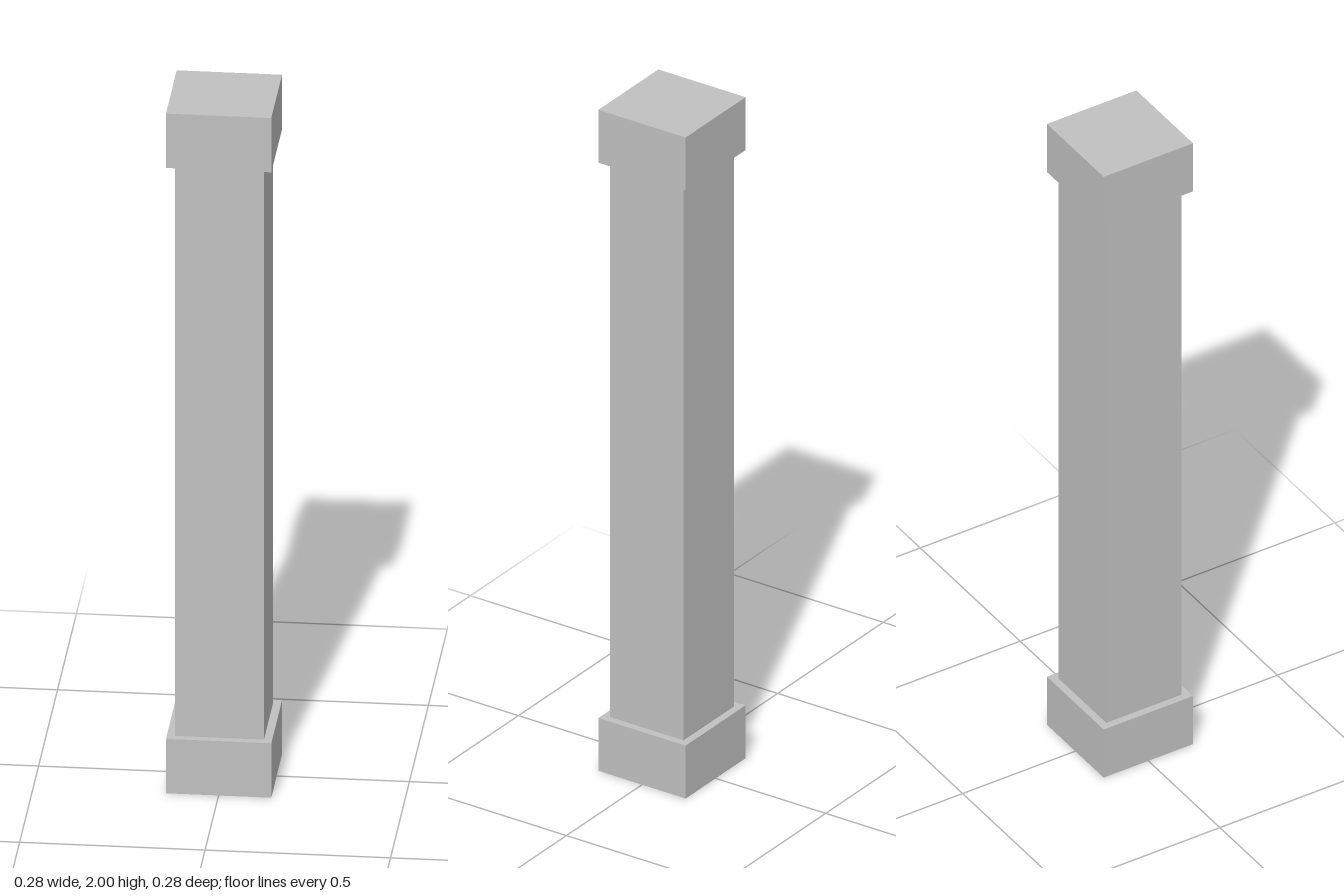
import * as THREE from 'three';

// Open square shell swept from a [halfWidth, y] profile
function squareShell(name, profile, material) {
  const points = profile.map(([half, y]) => new THREE.Vector2(half * Math.SQRT2, y));
  const swept = new THREE.LatheGeometry(points, 4, Math.PI / 4);
  const geometry = swept.toNonIndexed();
  geometry.computeVertexNormals();
  const mesh = new THREE.Mesh(geometry, material);
  mesh.name = name;
  return mesh;
}

export function createModel() {
  const stone = new THREE.MeshStandardMaterial({ color: 0xc0c0c0, side: THREE.DoubleSide });
  stone.name = 'grey stone';

  const blockHalf = 0.142, shaftHalf = 0.12;
  const baseTop = 0.16, capBottom = 1.84, top = 2;

  const column = new THREE.Group();
  column.name = 'column';
  column.add(
    // Base block, open underneath, with a ledge running in to the shaft
    squareShell('base', [[blockHalf, 0], [blockHalf, baseTop], [shaftHalf, baseTop]], stone),
    // Hollow shaft
    squareShell('shaft', [[shaftHalf, baseTop], [shaftHalf, capBottom]], stone),
    // Capital, with a ledge below and a closed top
    squareShell('capital', [[shaftHalf, capBottom], [blockHalf, capBottom], [blockHalf, top], [0, top]], stone),
  );
  return column;
}
